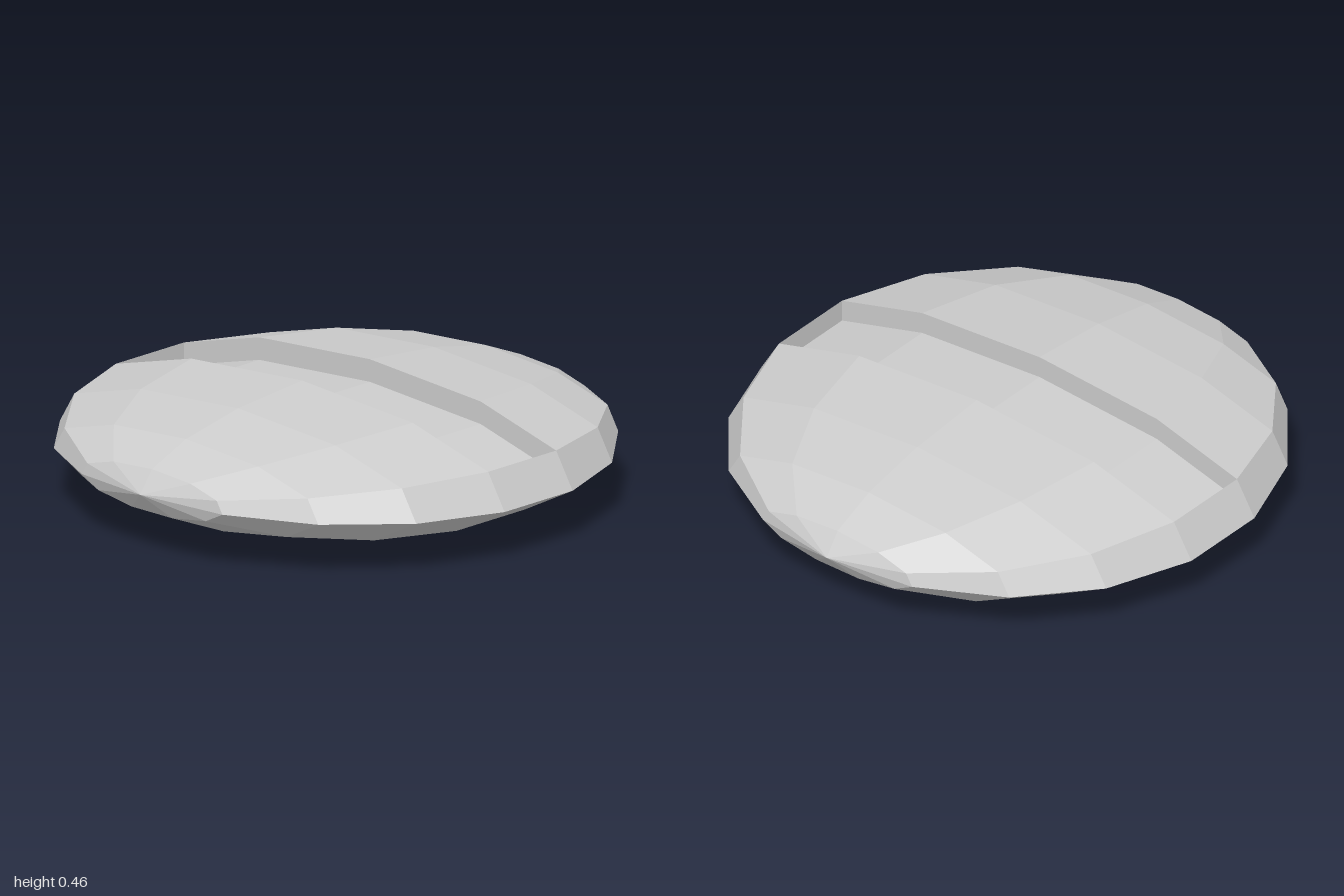
import * as THREE from 'three';

const RINGS = 9, SIDES = 11;            // facets along x, facets around the x axis
const HEIGHT = 0.238, CENTRE = 0.2265, TILT = 0.01;
const MID = 4;                          // index of the middle band
const GROOVE = { from: -2, to: 2, shift: -0.083 };
const PANEL = { from: 4, to: 5, shift: 0.006 };

// Point on the flattened ball: i runs from the +x pole to the -x pole, j around the x axis
function point(i, j, shift = 0) {
  const theta = (i / RINGS) * Math.PI;
  const phi = (j / SIDES) * Math.PI * 2;
  const x = Math.cos(theta), r = Math.sin(theta);
  return [x, CENTRE + HEIGHT * r * Math.cos(phi) - TILT * x + shift, r * Math.sin(phi)];
}

// Corners of one facet, counter-clockwise from outside
function facet(i, j, shift = 0) {
  return [point(i, j, shift), point(i + 1, j, shift), point(i + 1, j + 1, shift), point(i, j + 1, shift)];
}

function facetMesh(name, quads, material) {
  const positions = [];
  for (const [a, b, c, d] of quads) positions.push(...a, ...b, ...c, ...a, ...c, ...d);
  const geometry = new THREE.BufferGeometry();
  geometry.setAttribute('position', new THREE.Float32BufferAttribute(positions, 3));
  geometry.computeVertexNormals();
  const mesh = new THREE.Mesh(geometry, material);
  mesh.name = name;
  return mesh;
}

// Sunken run of facets in the middle band: floor plus the walls round its rim
function pocket({ from, to, shift }) {
  const quads = [];
  for (let j = from; j < to; j++) {
    const rim = facet(MID, j), floor = facet(MID, j, shift);
    quads.push(floor);
    for (let k = 0; k < 4; k++) {
      if ((k === 0 && j !== from) || (k === 2 && j !== to - 1)) continue;
      const n = (k + 1) % 4;
      quads.push([rim[k], rim[n], floor[n], floor[k]]);
    }
  }
  return quads;
}

export function createModel() {
  const group = new THREE.Group();
  group.name = 'groovedDisc';
  const grey = new THREE.MeshStandardMaterial({ color: 0xcccccc, flatShading: true });
  grey.name = 'lightGrey';

  // Body shell, left open where the pockets sit
  const inPocket = (j) => [GROOVE, PANEL].some((p) => j >= p.from && j < p.to);
  const shell = [];
  for (let i = 0; i < RINGS; i++) {
    for (let j = -5; j < SIDES - 5; j++) {
      if (i !== MID || !inPocket(j)) shell.push(facet(i, j));
    }
  }
  group.add(facetMesh('body', shell, grey));

  // Long groove over the top and the shallow panel underneath
  group.add(facetMesh('topGroove', pocket(GROOVE), grey));
  group.add(facetMesh('bottomPanel', pocket(PANEL), grey));
  return group;
}
